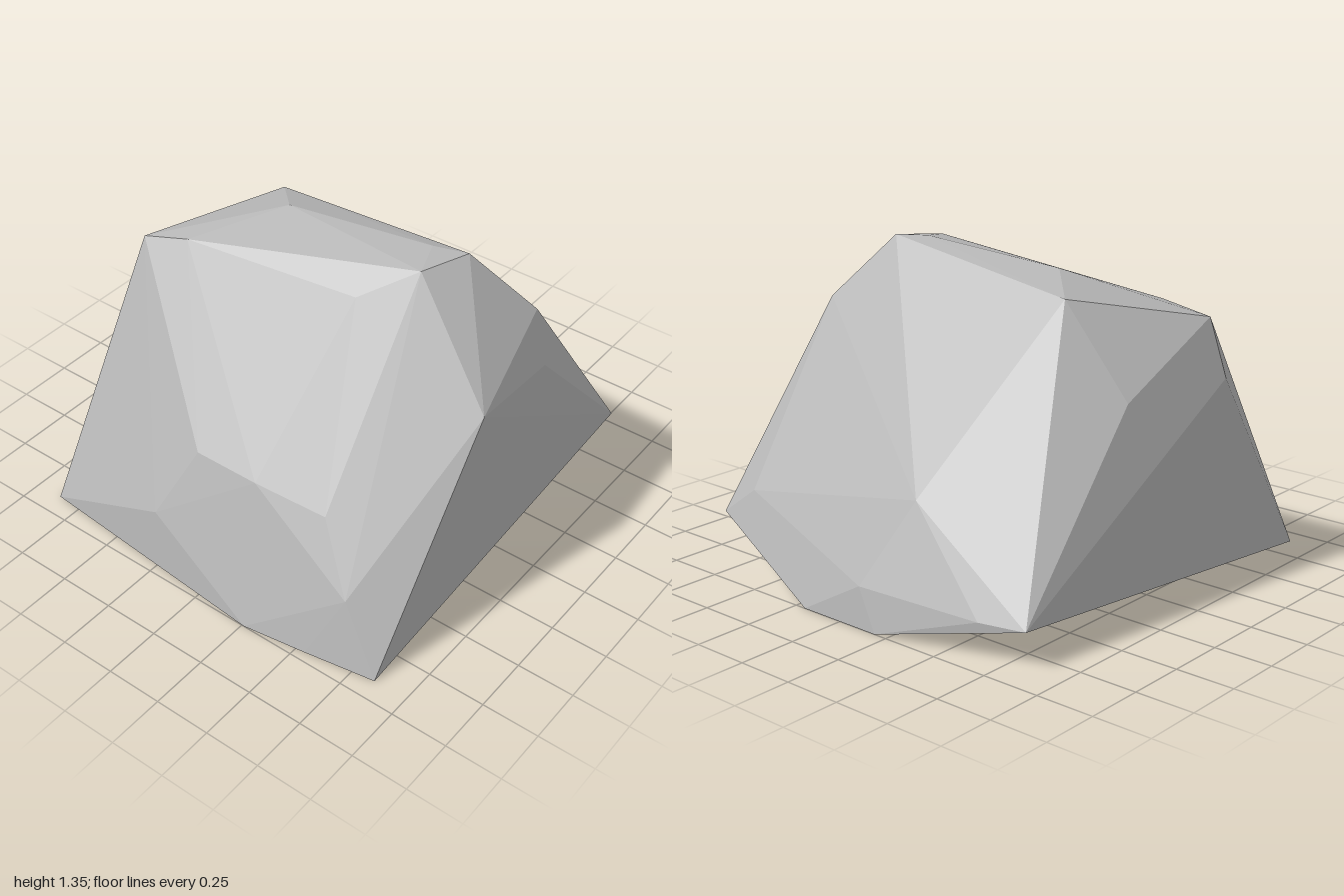
import * as THREE from 'three';
import { ConvexGeometry } from 'three/addons/geometries/ConvexGeometry.js';

// Corner rings of the faceted boulder, from the ground up
const base = [
  [-0.87, 0, 0.905], [0.26, 0, 1], [0.54, 0, 0.96], [0.85, 0, 0.91], [0.2, 0, -1], [-0.19, 0, -1],
];
const lowerSides = [
  [-0.84, 0.15, -0.87], [-0.64, 0.147, -0.91], [-0.08, 0.16, -0.97], [0.865, 0.21, -0.83],
  [0.71, 0.33, -0.8], [-0.23, 0.5, -0.8], [-0.28, 0.25, 0.91], [0.66, 0.27, 0.85],
];
const upperSides = [
  [-0.34, 0.53, 0.73], [-0.15, 0.55, 0.77], [0.15, 0.55, 0.77], [0.47, 0.52, 0.73],
  [-0.865, 0.86, 0.35], [-0.77, 0.85, -0.18], [0.86, 0.9, 0.24], [0.84, 0.85, -0.23],
];
const crown = [
  [-0.79, 1.105, 0.335], [-0.58, 1.155, 0.3], [0.25, 1.2, 0.25], [0.76, 1.07, -0.27],
  [-0.455, 1.215, -0.18], [-0.28, 1.287, 0], [0.45, 1.325, 0.1], [0.4, 1.345, -0.045], [0.54, 1.34, -0.095],
];

export function createModel() {
  const stone = new THREE.MeshStandardMaterial({ color: 0xb4b4b4, flatShading: true });
  stone.name = 'grey stone';

  // The flat facets are the convex skin around all the corners
  const corners = [...base, ...lowerSides, ...upperSides, ...crown].map((p) => new THREE.Vector3(...p));
  const boulder = new THREE.Mesh(new ConvexGeometry(corners), stone);
  boulder.name = 'boulder';

  const model = new THREE.Group();
  model.name = 'rock';
  model.add(boulder);
  return model;
}
